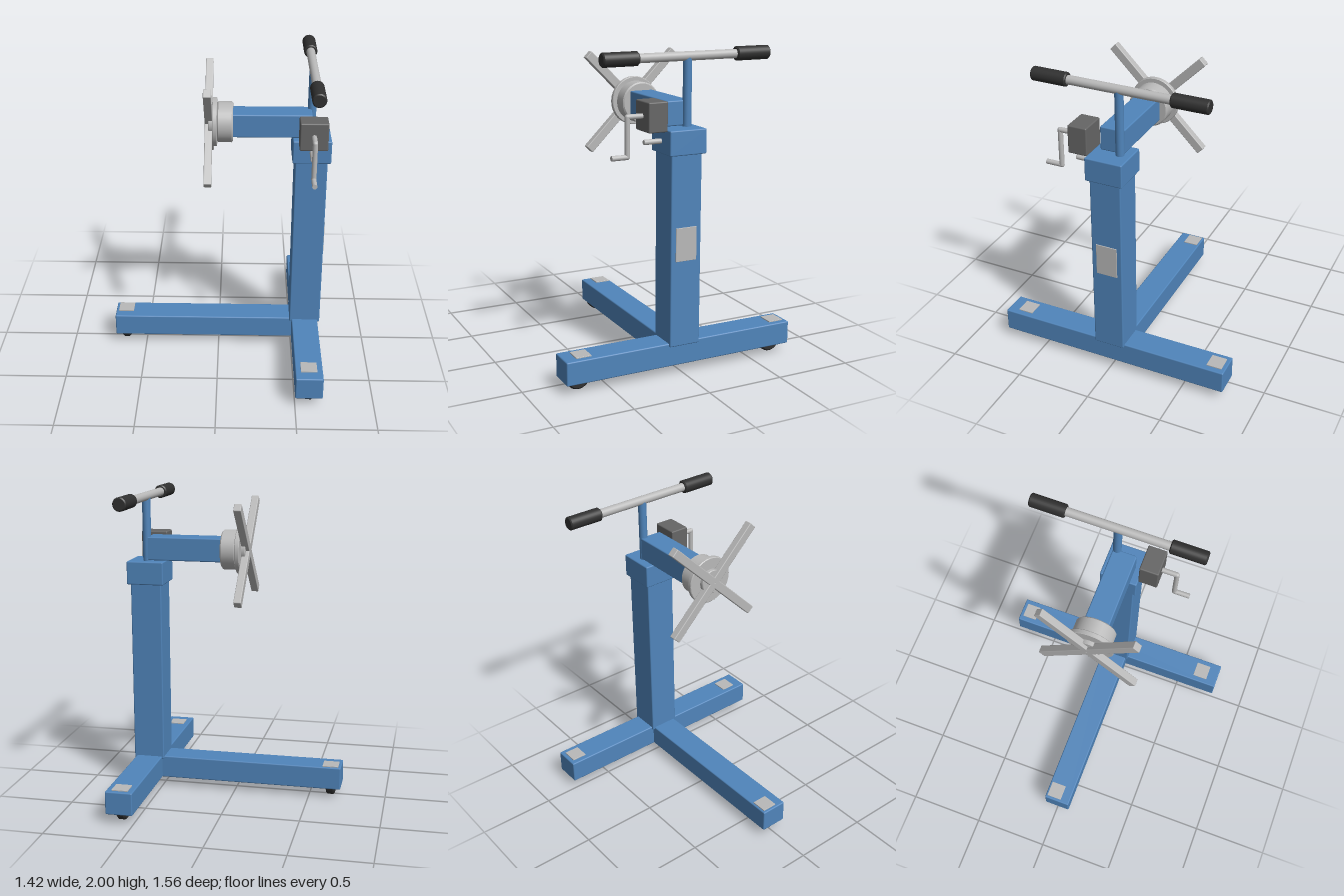
import * as THREE from 'three';
import { RoundedBoxGeometry } from 'three/addons/geometries/RoundedBoxGeometry.js';

export function createModel() {
  const model = new THREE.Group();
  model.name = 'workStand';

  const material = (name, color) => {
    const m = new THREE.MeshStandardMaterial({ color });
    m.name = name;
    return m;
  };
  const blue = material('blue paint', 0x5085bb);
  const steel = material('light steel', 0xb9b9b9);
  const iron = material('dark iron', 0x666666);
  const rubber = material('black rubber', 0x303030);

  const add = (name, geometry, mat, parent = model) => {
    const mesh = new THREE.Mesh(geometry, mat);
    mesh.name = name;
    parent.add(mesh);
    return mesh;
  };
  // Softly bevelled box given by its extents
  const box = (name, mat, [x0, x1], [y0, y1], [z0, z1], bevel = 0.008) => {
    const g = new RoundedBoxGeometry(x1 - x0, y1 - y0, z1 - z0, 2, bevel);
    g.translate((x0 + x1) / 2, (y0 + y1) / 2, (z0 + z1) / 2);
    return add(name, g, mat);
  };
  // Turned part around the x or z axis, with a small chamfer on both rims
  const turned = (name, mat, axis, from, to, radius, y, other, chamfer = 0.004, parent = model) => {
    const h = (to - from) / 2, c = chamfer;
    const rings = [[0, -h], [radius - c, -h], [radius, -h + c], [radius, h - c], [radius - c, h], [0, h]];
    // Each straight piece has its own points, which keeps the rims sharp
    const group = new THREE.Group();
    group.name = name;
    for (let i = 0; i < rings.length - 1; i++) {
      const pts = [rings[i], rings[i + 1]].map(([r, t]) => new THREE.Vector2(r, t));
      add(name + 'Surface', new THREE.LatheGeometry(pts, 32), mat, group);
    }
    const mid = (from + to) / 2;
    if (axis === 'x') {
      group.rotation.z = -Math.PI / 2;
      group.position.set(mid, y, other);
    } else {
      group.rotation.x = Math.PI / 2;
      group.position.set(other, y, mid);
    }
    parent.add(group);
    return group;
  };

  // T-shaped base, column, collar and horizontal arm
  const cx = 0.587;
  box('longBeam', blue, [-0.71, 0.54], [0.06, 0.21], [-0.088, 0.088]);
  box('crossBeam', blue, [0.5, 0.675], [0.06, 0.21], [-0.78, 0.78]);
  box('column', blue, [0.485, 0.69], [0.19, 1.42], [-0.102, 0.102]);
  box('collar', blue, [0.466, 0.71], [1.388, 1.54], [-0.122, 0.122]);
  box('headArm', blue, [0.05, 0.585], [1.545, 1.697], [-0.078, 0.078]);
  box('columnPlate', steel, [0.687, 0.695], [0.735, 0.945], [-0.07, 0.07], 0.002);

  // Wheels under the beam ends, with small plates above them
  for (const [x, z, plateZ] of [[-0.64, 0, -0.025], [cx, 0.68, 0.655], [cx, -0.68, -0.705]]) {
    turned('wheel', rubber, 'x', x - 0.028, x + 0.028, 0.077, 0.077, z, 0.01);
    box('wheelBracket', rubber, [x - 0.036, x + 0.036], [0.053, 0.064], [z - 0.045, z + 0.045], 0.002);
    box('footPlate', steel, [x - 0.052, x + 0.052], [0.208, 0.217], [plateZ - 0.05, plateZ + 0.05], 0.002);
  }

  // Rotating mounting head with four diagonal arms
  const hubY = 1.62;
  turned('hub', steel, 'x', -0.01, 0.09, 0.129, hubY, 0, 0.008);
  turned('hubFlange', steel, 'x', -0.04, -0.01, 0.155, hubY, 0);
  turned('hubBoss', steel, 'x', -0.066, -0.036, 0.08, hubY, 0);
  for (let i = 0; i < 4; i++) {
    const g = new RoundedBoxGeometry(0.048, 0.43, 0.056, 2, 0.005);
    g.translate(0, 0.215, 0);
    const arm = add('mountingArm', g, steel);
    arm.position.set(-0.064, hubY, 0);
    arm.rotation.x = Math.PI / 4 + (i * Math.PI) / 2;
  }

  // Gearbox with bent crank, and the locking pin below it
  box('gearbox', iron, [0.5, 0.675], [1.53, 1.71], [0.12, 0.245]);
  const corners = [[1.622, 0.24], [1.622, 0.342], [1.385, 0.342], [1.385, 0.445]]
    .map(([y, z]) => new THREE.Vector3(cx, y, z));
  const crank = new THREE.Group();
  crank.name = 'crank';
  model.add(crank);
  for (let i = 0; i < 3; i++) {
    const a = corners[i], b = corners[i + 1], dir = b.clone().sub(a);
    const rod = add('crankRod', new THREE.CylinderGeometry(0.016, 0.016, dir.length(), 16), steel, crank);
    rod.position.copy(a).add(b).multiplyScalar(0.5);
    rod.quaternion.setFromUnitVectors(new THREE.Vector3(0, 1, 0), dir.normalize());
    if (i < 2) add('crankBend', new THREE.SphereGeometry(0.016, 16, 10), steel, crank).position.copy(b);
  }
  turned('lockingPin', steel, 'z', 0.11, 0.236, 0.016, 1.464, cx, 0.003);

  // Upright and push handle with two grips
  const handleZ = -0.053;
  const upright = add('handleUpright', new THREE.CylinderGeometry(0.027, 0.027, 0.44, 20), blue);
  upright.position.set(cx, 1.73, handleZ);
  turned('handleBar', steel, 'z', handleZ - 0.5, handleZ + 0.5, 0.028, 1.957, cx);
  for (const side of [-1, 1]) {
    const mid = handleZ + side * 0.443;
    turned('grip', rubber, 'z', mid - 0.115, mid + 0.115, 0.043, 1.957, cx, 0.007);
  }
  return model;
}
